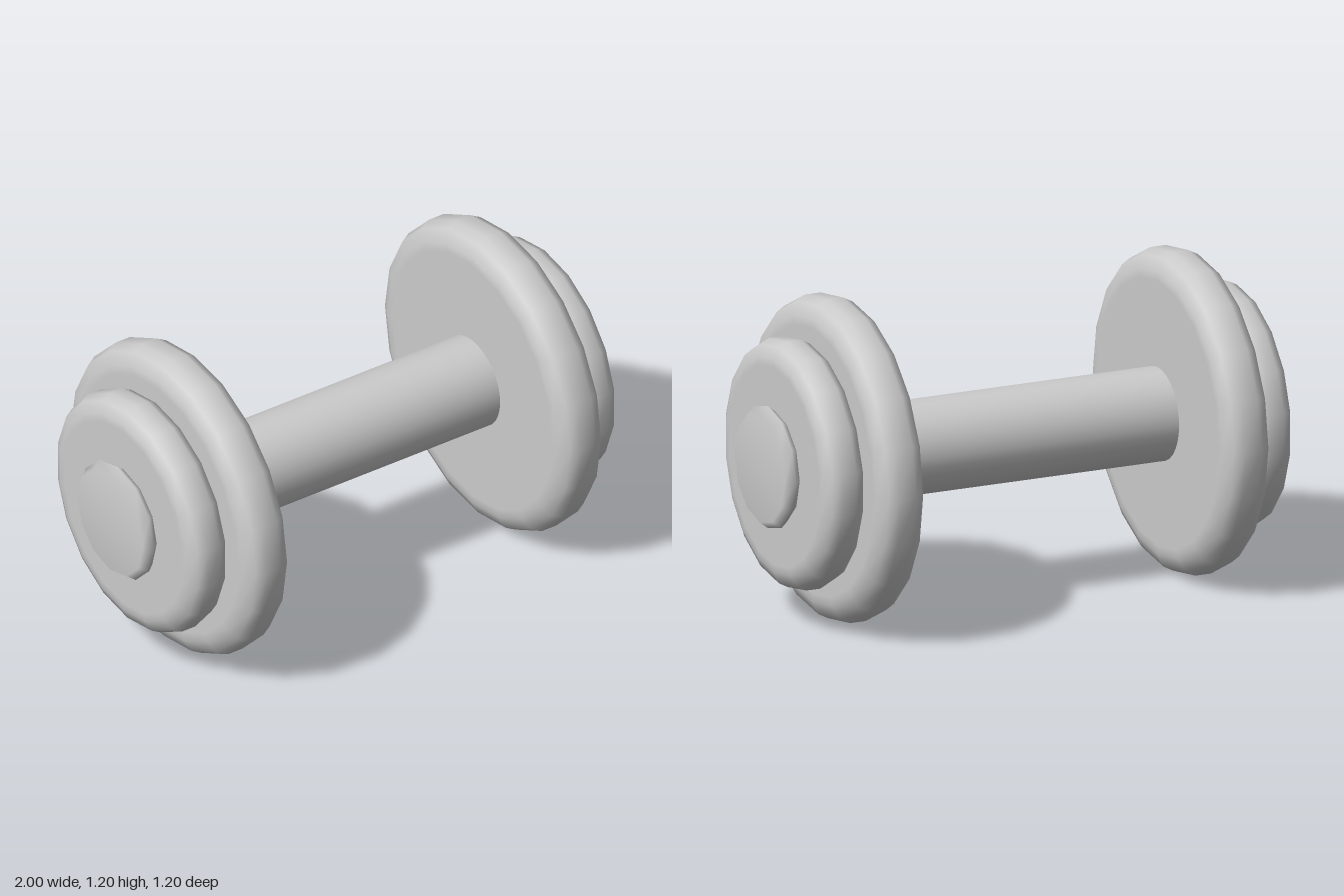
import * as THREE from 'three';

const AXIS_Y = 0.6;
const material = new THREE.MeshStandardMaterial({ color: 0xcccccc });

// Solid of revolution; profile pairs are [radius, distance from the middle]
function turned(name, profile, sides) {
  const points = profile.map(([r, d]) => new THREE.Vector2(r, d));
  const geometry = new THREE.LatheGeometry(points, sides, Math.PI / 2);
  geometry.rotateZ(-Math.PI / 2);
  const mesh = new THREE.Mesh(geometry, material);
  mesh.name = name;
  return mesh;
}

// Disc with a rounded rim between the distances a and b
function plate(name, radius, a, b, sides) {
  const w = b - a;
  const half = [[0, 0], [radius - 0.55 * w, 0], [radius - 0.37 * w, 0],
    [radius - 0.11 * w, 0.12 * w], [radius, 0.33 * w]];
  const inner = half.map(([r, d]) => [r, a + d]);
  const outer = half.map(([r, d]) => [r, b - d]).reverse();
  return turned(name, [...inner, ...outer], sides);
}

export function createModel() {
  const model = new THREE.Group();
  model.name = 'dumbbell';

  // Grip bar
  const handle = new THREE.Mesh(new THREE.CylinderGeometry(0.174, 0.174, 1.3, 32), material);
  handle.name = 'handle';
  handle.rotation.z = Math.PI / 2;
  handle.position.y = AXIS_Y;
  model.add(handle);

  // Matching weight stacks at both ends
  for (const [name, turn] of [['leftWeights', 0], ['rightWeights', Math.PI]]) {
    const stack = new THREE.Group();
    stack.name = name;
    stack.add(plate('largePlate', 0.6, 0.604, 0.787, 20));
    stack.add(plate('smallPlate', 0.462, 0.78, 0.942, 18));
    stack.add(turned('endCap',
      [[0, 0.935], [0.205, 0.935], [0.23, 0.968], [0.205, 1], [0, 1]], 12));
    stack.rotation.y = turn;
    stack.position.y = AXIS_Y;
    model.add(stack);
  }
  return model;
}
